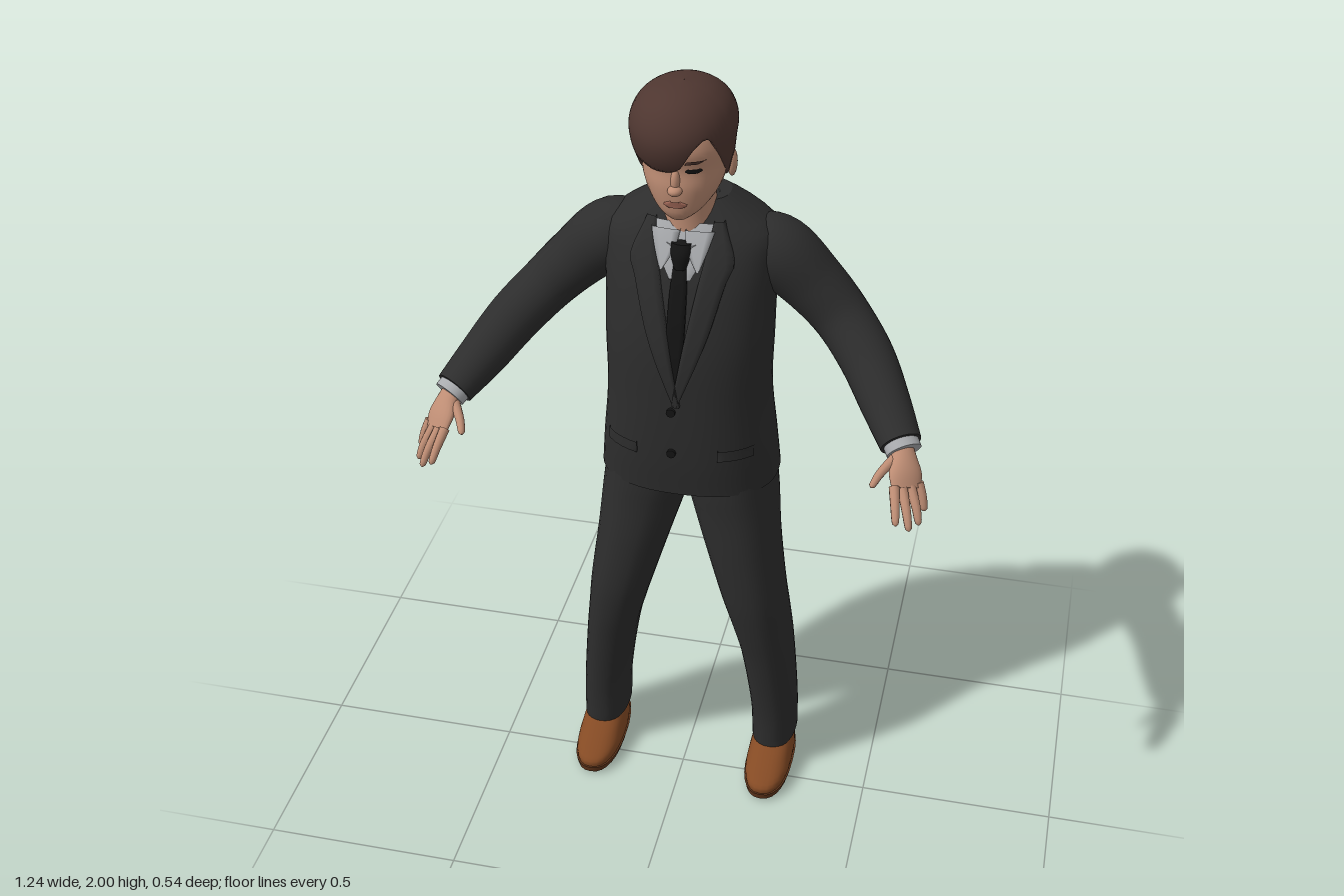
import * as THREE from 'three';

const V = (x, y, z) => new THREE.Vector3(x, y, z);
const mat = (name, color, side = THREE.FrontSide) => {
  const m = new THREE.MeshStandardMaterial({ color, side });
  m.name = name;
  return m;
};

// Smooth interpolation of a table whose first column is an ascending key
function sample(table, k) {
  const n = table.length - 1;
  let i = 0;
  while (i < n - 1 && k > table[i + 1][0]) i++;
  const p = table[i], q = table[i + 1], h = q[0] - p[0];
  const t = Math.min(1, Math.max(0, (k - p[0]) / h));
  const slope = (j, c) => {
    const a = table[Math.max(0, j - 1)], b = table[Math.min(n, j + 1)];
    return (b[c] - a[c]) / (b[0] - a[0]);
  };
  return p.map((_, c) => c === 0 ? k
    : p[c] * (1 + 2 * t) * (1 - t) ** 2 + q[c] * t * t * (3 - 2 * t)
      + h * (slope(i, c) * t * (1 - t) ** 2 - slope(i + 1, c) * t * t * (1 - t)));
}

// Surface from a grid of points; closed rows wrap round, caps fill both ends
function grid(rows, closed, caps) {
  const n = rows[0].length, pos = [], idx = [];
  rows.forEach(r => r.forEach(p => pos.push(p.x, p.y, p.z)));
  for (let i = 0; i < rows.length - 1; i++)
    for (let j = 0; j < (closed ? n : n - 1); j++) {
      const k = (j + 1) % n, a = i * n + j, b = i * n + k, c = b + n, d = a + n;
      idx.push(a, b, d, b, c, d);
    }
  if (caps) [rows[0], rows[rows.length - 1]].forEach((r, end) => {
    const base = pos.length / 3;
    const mid = r.reduce((s, p) => s.add(p), V(0, 0, 0)).divideScalar(n);
    [...r, mid].forEach(p => pos.push(p.x, p.y, p.z));
    for (let j = 0; j < n; j++) {
      const a = base + j, b = base + (j + 1) % n;
      end ? idx.push(a, b, base + n) : idx.push(b, a, base + n);
    }
  });
  const g = new THREE.BufferGeometry();
  g.setAttribute('position', new THREE.Float32BufferAttribute(pos, 3));
  g.setIndex(idx);
  g.computeVertexNormals();
  return g;
}

const pw = (v, p) => Math.sign(v) * Math.abs(v) ** (2 / p);

// Sweep of rows [t, x, y, z, halfWidth, halfDepth]; axis fixes the ring plane
function sweep(table, { steps = 24, n = 28, ref = V(1, 0, 0), axis = null, p = 2, caps = true } = {}) {
  const k0 = table[0][0], k1 = table[table.length - 1][0], rows = [];
  const at = k => { const s = sample(table, k); return V(s[1], s[2], s[3]); };
  for (let i = 0; i <= steps; i++) {
    const k = k0 + (k1 - k0) * i / steps, e = (k1 - k0) * 0.01;
    const [, x, y, z, a, b] = sample(table, k);
    const T = axis ? axis.clone().normalize() : at(Math.min(k1, k + e)).sub(at(Math.max(k0, k - e))).normalize();
    const S = ref.clone().addScaledVector(T, -ref.dot(T)).normalize();
    const N = T.clone().cross(S);
    rows.push(Array.from({ length: n }, (_, j) => {
      const u = j / n * Math.PI * 2;
      return V(x, y, z).addScaledVector(S, a * pw(Math.cos(u), p)).addScaledVector(N, b * pw(Math.sin(u), p));
    }));
  }
  return grid(rows, true, caps);
}

// Stack of level rings [y, cx, cz, rx, rz]
const stack = (table, o = {}) =>
  sweep(table.map(([y, x, z, a, b]) => [y, x, y, z, a, b]), { axis: V(0, 1, 0), ...o });

// Raised strip of rows [y, x0, x1] laid on the front or back of a stack
function strip(table, p, rows, off, dir = 1, steps = 14) {
  const k0 = rows[0][0], k1 = rows[rows.length - 1][0], out = [];
  for (let i = 0; i <= steps; i++) {
    const y = k0 + (k1 - k0) * i / steps;
    const [, x0, x1] = sample(rows, y), [, cx, cz, rx, rz] = sample(table, y);
    out.push([0, 0, 0.25, 0.5, 0.75, 1, 1].map((f, j) => {
      const x = x0 + (x1 - x0) * f, w = Math.min(1, Math.abs((x - cx) / rx));
      const lift = j === 0 || j === 6 ? 0 : off;
      return V(x, y, cz + dir * (rz * (1 - w ** p) ** (1 / p) + lift));
    }));
  }
  if (dir < 0) out.forEach(r => r.reverse());
  return grid(out, false, false);
}

function mirror(geo) {
  const g = geo.clone().scale(-1, 1, 1), a = g.index.array;
  for (let i = 0; i < a.length; i += 3) [a[i], a[i + 1]] = [a[i + 1], a[i]];
  g.computeVertexNormals();
  return g;
}

export function createModel() {
  const suit = mat('suit cloth', 0x2d2d2d, THREE.DoubleSide);
  const black = mat('black silk', 0x141414, THREE.DoubleSide);
  const white = mat('shirt grey', 0xa9abae, THREE.DoubleSide);
  const skin = mat('skin', 0xbe8d74);
  const hair = mat('hair brown', 0x4e3630, THREE.DoubleSide);
  const lip = mat('lip', 0x9c6555, THREE.DoubleSide);
  const leather = mat('shoe leather', 0x844a24);
  const soleMat = mat('shoe sole', 0x60351b);

  const model = new THREE.Group();
  model.name = 'suitedMan';
  const add = (name, geo, m) => {
    const mesh = new THREE.Mesh(geo, m);
    mesh.name = name;
    model.add(mesh);
  };
  const pair = (name, geo, m) => {
    add(name + 'Left', geo, m);
    add(name + 'Right', mirror(geo), m);
  };

  // Jacket body
  const P = 2.4;
  const torso = [
    [0.95, 0, -0.1, 0.223, 0.165], [1.05, 0, -0.09, 0.214, 0.165], [1.2, 0, -0.08, 0.2, 0.16],
    [1.35, 0, -0.081, 0.202, 0.158], [1.47, 0, -0.092, 0.203, 0.149], [1.56, 0, -0.107, 0.208, 0.137],
    [1.62, 0, -0.116, 0.2, 0.119], [1.665, 0, -0.12, 0.14, 0.098], [1.7, 0, -0.115, 0.088, 0.065]];
  add('jacketBody', stack(torso, { steps: 40, n: 48, p: P }), suit);

  // Sleeves and shirt cuffs
  pair('sleeve', sweep([
    [0, 0.13, 1.575, -0.12, 0.07, 0.07], [0.15, 0.2, 1.555, -0.12, 0.085, 0.085],
    [0.35, 0.29, 1.475, -0.12, 0.076, 0.075], [0.5, 0.36, 1.405, -0.105, 0.069, 0.069],
    [0.65, 0.43, 1.335, -0.05, 0.066, 0.066], [0.82, 0.49, 1.265, 0.03, 0.059, 0.059],
    [1, 0.54, 1.212, 0.11, 0.05, 0.046]], { steps: 32, ref: V(0.8, 0, -0.6) }), suit);
  pair('shirtCuff', sweep([
    [0, 0.535, 1.217, 0.1, 0.043, 0.039], [1, 0.55, 1.2, 0.122, 0.043, 0.037]],
    { steps: 1, ref: V(0.8, 0, -0.6) }), white);

  // Lapels, pocket flaps, vent and buttons
  pair('lapel', strip(torso, P, [[1.22, -0.01, 0.004], [1.4, 0.02, 0.07], [1.54, 0.046, 0.108],
    [1.58, 0.054, 0.122], [1.665, 0.068, 0.09]], 0.012, 1, 28), suit);
  pair('pocketFlap', strip(torso, P, [[1.065, 0.1, 0.18], [1.095, 0.1, 0.18]], 0.008, 1, 2), suit);
  add('backVent', strip(torso, P, [[0.95, -0.004, 0.004], [1.07, -0.003, 0.003]], 0.004, -1, 4), black);
  for (const y of [1.2, 1.08]) {
    const z = sample(torso, y);
    add('button', new THREE.CylinderGeometry(0.011, 0.011, 0.008, 16).rotateX(Math.PI / 2)
      .translate(-0.012, y, z[2] + z[4] + 0.004), black);
  }

  // Shirt, collar and tie
  add('shirtFront', strip(torso, P, [[1.54, -0.025, 0.025], [1.6, -0.056, 0.056], [1.66, -0.07, 0.07]], 0.006), white);
  pair('collarWing', strip(torso, P, [[1.565, 0.04, 0.046], [1.61, 0.015, 0.062], [1.65, 0.006, 0.074]], 0.02), white);
  add('collar', sweep([[0, 0, 1.645, -0.065, 0.09, 0.108], [1, 0, 1.672, -0.052, 0.077, 0.098]],
    { steps: 3, axis: V(0, 0.83, 0.55), caps: false }), white);
  add('tie', strip(torso, P, [[1.23, -0.006, 0.002], [1.35, -0.022, 0.016], [1.5, -0.021, 0.019], [1.59, -0.014, 0.014]], 0.009), black);
  add('tieKnot', stack([[1.565, 0, 0.032, 0.014, 0.014], [1.6, 0, 0.026, 0.024, 0.019], [1.625, 0, 0.018, 0.024, 0.015]],
    { steps: 6, n: 16 }), black);

  // Trousers
  pair('trouserLeg', stack([
    [0.09, 0.236, -0.105, 0.059, 0.1], [0.2, 0.232, -0.1, 0.06, 0.1], [0.4, 0.21, -0.09, 0.066, 0.115],
    [0.5, 0.192, -0.08, 0.073, 0.12], [0.6, 0.172, -0.068, 0.082, 0.118], [0.75, 0.14, -0.078, 0.095, 0.128],
    [0.87, 0.116, -0.095, 0.108, 0.14], [0.93, 0.105, -0.098, 0.112, 0.143], [1, 0.1, -0.098, 0.11, 0.14]],
    { steps: 40, n: 32, p: 2.3 }), suit);

  // Shoes
  pair('shoeUpper', stack([
    [0.02, 0.236, -0.04, 0.058, 0.148], [0.045, 0.236, -0.042, 0.06, 0.146],
    [0.07, 0.236, -0.068, 0.056, 0.116], [0.1, 0.236, -0.1, 0.05, 0.08], [0.13, 0.236, -0.105, 0.047, 0.075]],
    { steps: 16, p: 2.4 }), leather);
  pair('shoeSole', stack([[0.008, 0.236, -0.04, 0.059, 0.15], [0.025, 0.236, -0.04, 0.063, 0.153]],
    { steps: 1, p: 2.4 }), soleMat);
  pair('shoeHeel', stack([[0, 0.236, -0.145, 0.046, 0.044], [0.02, 0.236, -0.145, 0.048, 0.046]],
    { steps: 1, p: 3 }), soleMat);

  // Hands
  const across = V(0.74, 0, -0.67);
  pair('palm', sweep([
    [0, 0.542, 1.21, 0.112, 0.026, 0.022], [0.35, 0.552, 1.19, 0.135, 0.032, 0.02],
    [0.7, 0.56, 1.165, 0.16, 0.042, 0.018], [1, 0.566, 1.14, 0.182, 0.038, 0.012]],
    { steps: 12, n: 20, ref: across }), skin);
  const fingers = {
    thumb: [V(0.53, 1.19, 0.142), V(0.505, 1.175, 0.185), V(0.489, 1.158, 0.222)],
    indexFinger: [V(0.54, 1.152, 0.2), V(0.549, 1.122, 0.238), V(0.556, 1.092, 0.268)],
    middleFinger: [V(0.558, 1.144, 0.19), V(0.575, 1.106, 0.228), V(0.586, 1.07, 0.252)],
    ringFinger: [V(0.575, 1.142, 0.174), V(0.594, 1.104, 0.202), V(0.605, 1.068, 0.22)],
    littleFinger: [V(0.591, 1.144, 0.158), V(0.604, 1.112, 0.17), V(0.612, 1.08, 0.178)]
  };
  for (const [name, [a, b, c]] of Object.entries(fingers)) {
    const tip = c.clone().lerp(b, 0.12);
    const row = (t, v, r) => [t, v.x, v.y, v.z, r, r];
    pair(name, sweep([row(0, a, 0.0125), row(0.5, b, 0.0105), row(0.92, tip, 0.0075), row(1, c, 0.002)],
      { steps: 12, n: 10, ref: across }), skin);
  }

  // Head and neck
  add('neck', stack([[1.6, 0, -0.07, 0.068, 0.07], [1.68, 0, -0.068, 0.062, 0.066], [1.78, 0, -0.06, 0.064, 0.07]],
    { steps: 8 }), skin);
  const head = [
    [1.705, 0, 0.035, 0.022, 0.028], [1.72, 0, 0.022, 0.045, 0.053], [1.75, 0, -0.005, 0.073, 0.086],
    [1.79, 0, -0.022, 0.092, 0.106], [1.83, 0, -0.032, 0.1, 0.112], [1.88, 0, -0.037, 0.103, 0.124],
    [1.94, 0, -0.04, 0.084, 0.1], [1.975, 0, -0.04, 0.04, 0.05]];
  add('head', stack(head, { steps: 32, n: 36, p: 2.15 }), skin);
  const blob = (x, y, z, a, b, c) => new THREE.SphereGeometry(1, 18, 12).scale(a, b, c).translate(x, y, z);
  add('noseBridge', blob(0, 1.808, 0.078, 0.011, 0.03, 0.013).rotateX(0), skin);
  add('noseTip', blob(0, 1.788, 0.085, 0.017, 0.012, 0.018), skin);
  pair('ear', blob(0.102, 1.805, -0.05, 0.011, 0.033, 0.02), skin);
  pair('eye', strip(head, 2.15, [[1.829, 0.033, 0.047], [1.834, 0.022, 0.058], [1.84, 0.03, 0.052]], 0.003, 1, 6), black);
  pair('eyebrow', strip(head, 2.15, [[1.853, 0.022, 0.05], [1.861, 0.028, 0.066]], 0.004, 1, 3), hair);
  add('mouth', strip(head, 2.15, [[1.745, -0.014, 0.014], [1.752, -0.027, 0.027], [1.761, -0.01, 0.01]], 0.005, 1, 6), lip);

  // Hair: a cap whose lower edge varies round the head (0 degrees is the front)
  const cap = [
    [1.73, 0, -0.066, 0.08, 0.076], [1.78, -0.003, -0.058, 0.102, 0.098], [1.83, -0.005, -0.043, 0.111, 0.127],
    [1.87, -0.008, -0.04, 0.118, 0.143], [1.91, -0.008, -0.042, 0.121, 0.148], [1.95, -0.008, -0.043, 0.106, 0.132],
    [1.98, -0.008, -0.038, 0.074, 0.094], [1.995, -0.006, -0.034, 0.036, 0.048], [2, -0.006, -0.034, 0.001, 0.001]];
  const edge = [
    [-180, 1.735], [-120, 1.75], [-102, 1.822], [-84, 1.825], [-72, 1.785], [-55, 1.835], [-20, 1.828],
    [8, 1.842], [26, 1.895], [40, 1.912], [52, 1.88], [62, 1.84], [72, 1.785], [84, 1.825], [102, 1.822],
    [120, 1.75], [180, 1.735]];
  const rows = [];
  for (let i = -1; i <= 24; i++) {
    rows.push(Array.from({ length: 72 }, (_, j) => {
      const deg = -180 + j * 5, a = deg * Math.PI / 180, y0 = sample(edge, deg)[1];
      const f = Math.sin(Math.max(0, i) / 24 * Math.PI / 2), y = y0 + (2 - y0) * f;
      const [, cx, cz, rx, rz] = sample(cap, y), s = i < 0 ? 0.86 : 1;
      return V(cx + rx * s * Math.sin(a), y, cz + rz * s * Math.cos(a));
    }));
  }
  add('hair', grid(rows, true, false), hair);

  return model;
}
